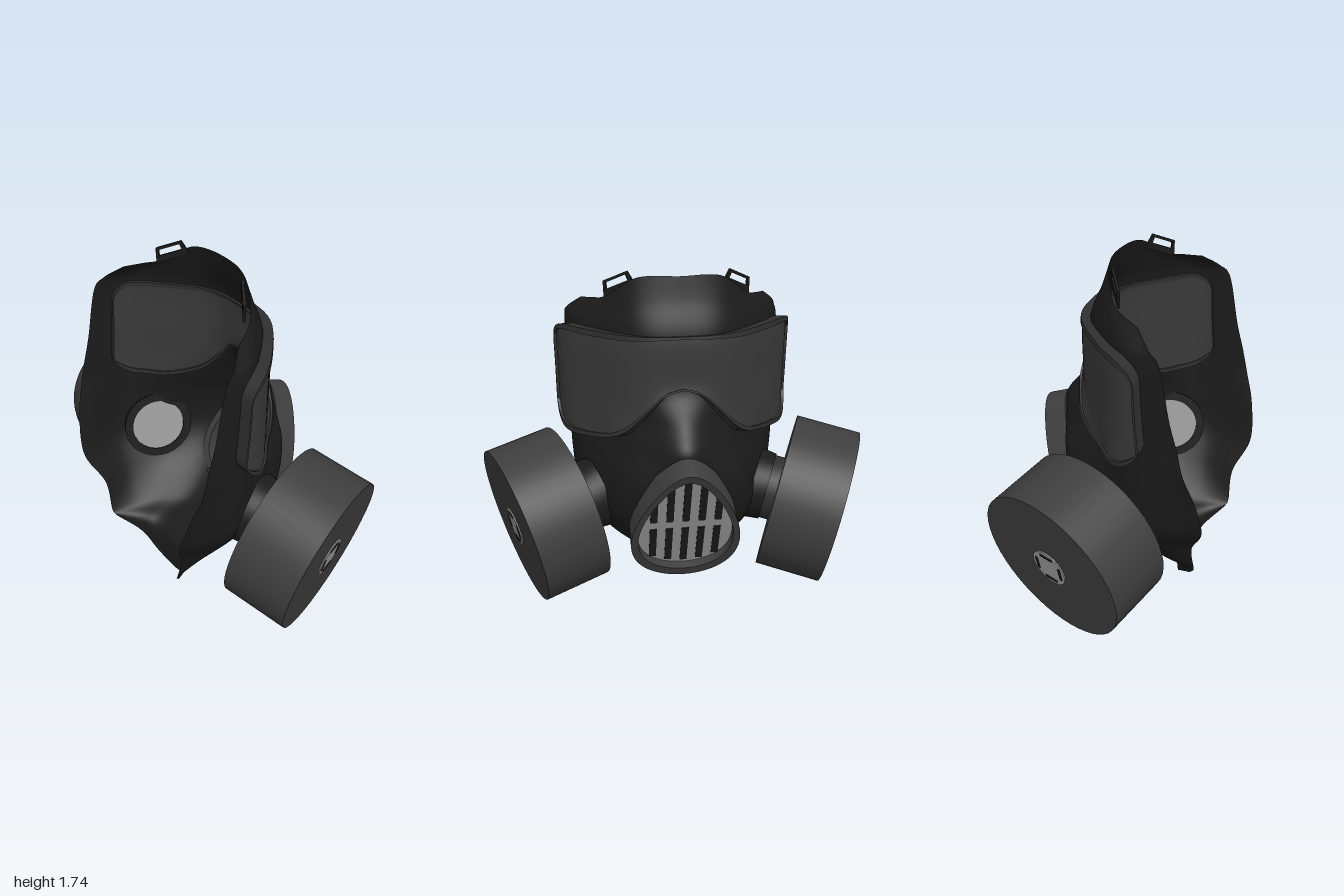
import * as THREE from 'three';
import { toCreasedNormals } from 'three/addons/utils/BufferGeometryUtils.js';

const V = (x, y, z) => new THREE.Vector3(x, y, z);
const V2 = ([x, y]) => new THREE.Vector2(x, y);
const mat = (name, color, side = THREE.FrontSide) => {
  const m = new THREE.MeshStandardMaterial({ color, side });
  m.name = name;
  return m;
};

// Half cross-sections of the face shell: centre, front, cheek, side, edge as [x, y, z]
const brow = [
  [[0, 1.73, -.1], [.2, 1.72, -.06], [.34, 1.62, .02], [.41, 1.595, .1], [.46, 1.58, .18]],
  [[0, 1.62, -.13], [.2, 1.61, -.1], [.36, 1.56, 0], [.48, 1.53, .12], [.53, 1.515, .255]],
];
// Behind the visor the plan stays the same; only nose and edge change
const eyeLevel = (y, zNose, zFront, xEdge, zEdge) =>
  [[0, y, zNose], [.2, y, zFront], [.38, y, -.02], [.52, y, .145], [xEdge, y, zEdge]];
const eyes = [
  eyeLevel(1.45, -.19, -.16, .545, .31), eyeLevel(1.2, -.2, -.165, .55, .36),
  eyeLevel(1.05, -.3, -.18, .55, .4), eyeLevel(.92, -.385, -.25, .55, .43),
];
const jaw = [
  [[0, .75, -.34], [.25, .75, -.29], [.41, .75, -.04], [.53, .75, .2], [.51, .75, .48]],
  [[0, .55, -.26], [.28, .55, -.24], [.43, .55, -.01], [.51, .55, .23], [.45, .55, .5]],
  [[0, .38, -.19], [.22, .38, -.16], [.36, .38, .02], [.41, .38, .24], [.37, .38, .43]],
];
const chin = [
  [[0, .23, 0], [.14, .22, .03], [.23, .22, .14], [.29, .22, .27], [.32, .22, .43]],
  [[0, .15, .23], [.12, .15, .24], [.19, .16, .28], [.25, .17, .34], [.3, .185, .42]],
  [[0, 0, .285], [.1, .015, .29], [.17, .05, .3], [.22, .095, .33], [.29, .16, .4]],
];
const ROWS = brow.concat(eyes, jaw, chin);

// Smooth interpolation of get(i), extended linearly past both ends
function spline(get, lo, hi, t) {
  const i = Math.min(hi - 1, Math.max(lo, Math.floor(t))), f = t - i;
  const b = get(i), c = get(i + 1);
  const a = i > lo ? get(i - 1) : 2 * b - c, d = i + 1 < hi ? get(i + 2) : 2 * c - b;
  return b + .5 * f * (c - a + f * (2 * a - 5 * b + 4 * c - d + f * (3 * (b - c) + d - a)));
}
const control = (r, c, k) => ROWS[r][Math.abs(c)][k] * (k === 0 && c < 0 ? -1 : 1);
const coord = (u, v, k) => spline(r => spline(c => control(r, c, k), -4, 4, u), 0, ROWS.length - 1, v);
const shellAt = (u, v) => V(coord(u, v, 0), coord(u, v, 1), coord(u, v, 2));
function normalAt(u, v) {
  const e = .02;
  const du = shellAt(u + e, v).sub(shellAt(u - e, v)), dv = shellAt(u, v + e).sub(shellAt(u, v - e));
  return du.cross(dv).normalize();
}

// Grid surface from f(i, j) with both arguments 0..1
function sheet(f, nu, nv, keep = () => true) {
  const pts = [], idx = [];
  for (let j = 0; j <= nv; j++) for (let i = 0; i <= nu; i++) pts.push(f(i / nu, j / nv));
  for (let j = 0; j < nv; j++) for (let i = 0; i < nu; i++) {
    const a = j * (nu + 1) + i, b = a + 1, c = a + nu + 1, d = c + 1;
    if (keep(pts[a].clone().add(pts[d]).multiplyScalar(.5))) idx.push(a, b, c, b, d, c);
  }
  const g = new THREE.BufferGeometry().setFromPoints(pts);
  g.setIndex(idx);
  g.computeVertexNormals();
  return g;
}

// Visor: a runs between the temples, b from top to bottom edge, off is the distance from the shell
const LOWER = [1.2, 1.17, 1.07, .98, .93, .91, .91, .915, .93];
function visorAt(a, b, off) {
  const side = Math.sin(a * Math.PI / 2), u = 3.4 * side, s = Math.abs(side) * 8;
  const round = 1 - Math.sqrt(1 - THREE.MathUtils.clamp((s - 6.5) / 1.5, 0, 1) ** 2);
  const y = THREE.MathUtils.lerp(1.465 - .1 * round, spline(i => LOWER[i], 0, 8, s) + .13 * round, b);
  let v0 = 1, v1 = 7;
  for (let k = 0; k < 18; k++) {
    const m = (v0 + v1) / 2;
    if (coord(u, m, 1) > y) v0 = m; else v1 = m;
  }
  return shellAt(u, v0).addScaledVector(normalAt(u, v0), off * (.8 + .4 * side * side));
}

// Egg-shaped vent outline, narrow at the top
const eggHalfWidth = c => .26 * Math.sqrt(Math.max(0, 1 - c * c)) * (1 - .35 * c);
const eggPoints = scale => Array.from({ length: 96 }, (_, i) => {
  const t = i / 96 * Math.PI * 2, c = Math.cos(t);
  return V2([Math.sign(Math.sin(t)) * eggHalfWidth(c) * scale, (.365 * c - .02) * scale]);
});
function eggSpan(x, scale) {
  const ys = eggPoints(scale).filter(p => Math.abs(p.x - x) < .02).map(p => p.y);
  return [Math.min(...ys), Math.max(...ys)];
}

export function createModel() {
  const rubber = mat('black rubber', 0x1b1b1b, THREE.DoubleSide);
  const glass = mat('dark lens', 0x393939, THREE.DoubleSide);
  const trim = mat('visor trim', 0x303030, THREE.DoubleSide);
  const plastic = mat('filter plastic', 0x3e3e3e);
  const metal = mat('grey metal', 0x9a9a9a);
  const model = new THREE.Group();
  const add = (parent, name, geo, material) => {
    const m = new THREE.Mesh(geo, material);
    m.name = name;
    parent.add(m);
  };
  const extrude = (shape, depth) => new THREE.ExtrudeGeometry(shape, { depth, bevelEnabled: false });

  // Vent on the snout, leaning downwards; local -z points outwards
  const vent = new THREE.Group();
  vent.name = 'vent';
  vent.position.set(0, .56, -.375);
  vent.rotation.x = -.37;
  vent.updateMatrix();
  model.add(vent);
  const ringShape = new THREE.Shape(eggPoints(1));
  ringShape.holes.push(new THREE.Path(eggPoints(.87).reverse()));
  const ring = extrude(ringShape, .12);
  const rp = ring.attributes.position;
  for (let i = 0; i < rp.count; i++) if (rp.getZ(i) > .06) rp.setZ(i, .12 + .5 * rp.getX(i) ** 2);
  add(vent, 'ventRim', toCreasedNormals(ring, .6), plastic);
  add(vent, 'ventGrille', extrude(new THREE.Shape(eggPoints(.88)), .01).translate(0, 0, .045), metal);
  for (let k = -2; k <= 2; k++) {
    const [lo, hi] = eggSpan(k * .08, .87);
    for (const [y0, y1] of [[lo + .02, -.065], [-.015, hi - .02]]) {
      const slot = new THREE.BoxGeometry(.036, y1 - y0, .018);
      add(vent, 'ventSlot', slot.translate(k * .08, (y0 + y1) / 2, .05), rubber);
    }
  }

  // Face shell, open behind the vent
  const toVent = vent.matrix.clone().invert();
  const keep = p => {
    const q = p.clone().applyMatrix4(toVent).divideScalar(.93);
    return p.z > .05 || Math.abs(q.x) > eggHalfWidth((q.y + .02) / .365);
  };
  add(model, 'faceShell', sheet((i, j) => shellAt(8 * i - 4, j * (ROWS.length - 1)), 112, 120, keep), rubber);

  // Visor: outer and inner lens faces, closed by a raised frame
  for (const [name, off] of [['visorOuter', .042], ['visorInner', -.008]])
    add(model, name, sheet((i, j) => visorAt(2 * i - 1, j, off), 80, 14), glass);
  const edge = t => {
    const s = t * 4, f = s % 1;
    return [[2 * f - 1, 0], [1, f], [1 - 2 * f, 1], [-1, 1 - f]][Math.floor(s) % 4];
  };
  const section = [[0, .054], [0, -.014], [1, -.014], [1, .054], [0, .054]];
  const frame = sheet((i, j) => {
    const [a, b] = edge(i), [inset, off] = section[Math.round(j * 4)];
    return visorAt(a * (1 - .1 * inset * a * a), b + (.5 - b) * .09 * inset, off);
  }, 240, 4);
  add(model, 'visorFrame', toCreasedNormals(frame, .6), trim);

  for (const s of [1, -1]) {
    // Filter canister; local +y points outwards
    const filter = new THREE.Group();
    filter.name = s > 0 ? 'leftFilter' : 'rightFilter';
    filter.position.set(s * .535, .545, 0);
    filter.quaternion.setFromUnitVectors(V(0, 1, 0), V(s * .31, -.07, -.11).normalize());
    model.add(filter);
    add(filter, 'canister', new THREE.CylinderGeometry(.408, .408, .336, 48).translate(0, .168, 0), plastic);
    add(filter, 'neck', new THREE.CylinderGeometry(.172, .172, .07, 36, 1, true).translate(0, -.03, 0), trim);
    const socket = [[.145, -.02], [.145, -.13], [.19, -.13], [.18, -.05], [.145, -.05]].map(V2);
    add(filter, 'socket', toCreasedNormals(new THREE.LatheGeometry(socket, 36), .6), rubber);
    add(filter, 'inletDisc', new THREE.CylinderGeometry(.147, .147, .01, 36).translate(0, -.118, 0), metal);
    add(filter, 'capDisc', new THREE.CylinderGeometry(.1, .1, .008, 32).translate(0, .338, 0), metal);
    for (let k = 0; k < 4; k++) {
      const bar = new THREE.BoxGeometry(.075, .008, .014).translate(0, .341, .072);
      add(filter, 'capSlot', bar.rotateY(k * Math.PI / 2 + s * .344), rubber);
    }

    // Slotted strap clip on the brow
    const clip = new THREE.Shape([[-.09, -.045], [-.075, .03], [.07, .03], [.1, -.045]].map(V2));
    clip.holes.push(new THREE.Path([[-.062, -.012], [.07, -.012], [.06, .017], [-.06, .017]].map(V2)));
    const along = V(s * .12, -.065, .08).normalize();
    const out = along.clone().cross(V(0, 1, 0)).normalize();
    const up = out.clone().cross(along);
    const place = new THREE.Matrix4().makeBasis(along, up, out).setPosition(s * .292, 1.685, .015);
    add(model, s > 0 ? 'leftStrapClip' : 'rightStrapClip', extrude(clip, .012).applyMatrix4(place), rubber);
  }
  return model;
}
